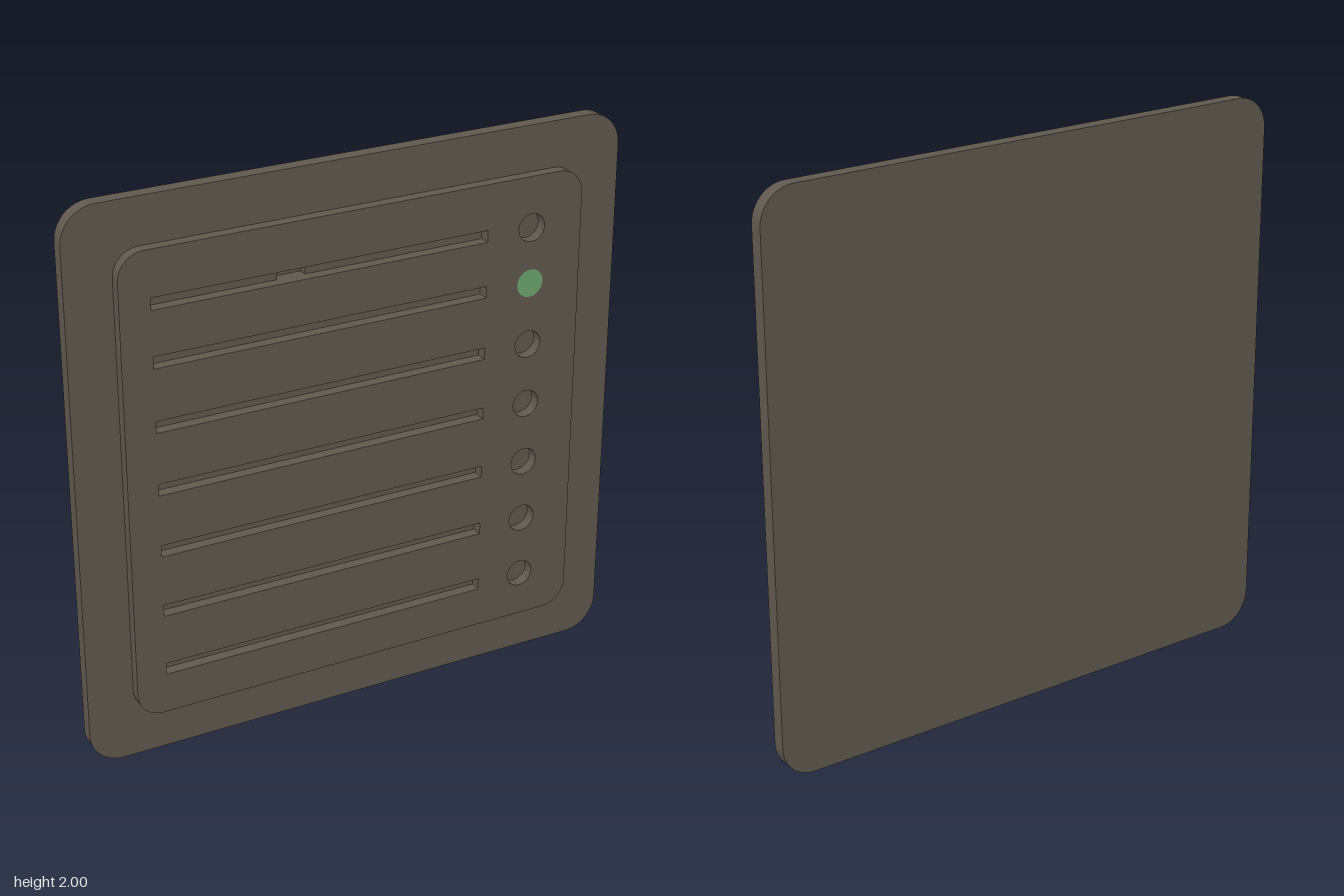
import * as THREE from 'three';

// Rounded rectangle centred on (0, 1)
function roundedSquare(half, r) {
  const s = new THREE.Shape();
  const b = 1 - half, t = 1 + half;
  s.moveTo(-half + r, b);
  s.lineTo(half - r, b);
  s.absarc(half - r, b + r, r, -Math.PI / 2, 0);
  s.lineTo(half, t - r);
  s.absarc(half - r, t - r, r, 0, Math.PI / 2);
  s.lineTo(-half + r, t);
  s.absarc(-half + r, t - r, r, Math.PI / 2, Math.PI);
  s.lineTo(-half, b + r);
  s.absarc(-half + r, b + r, r, Math.PI, Math.PI * 1.5);
  return s;
}

function rectHole(x0, x1, y, h) {
  return new THREE.Path([
    [x0, y - h / 2], [x0, y + h / 2], [x1, y + h / 2], [x1, y - h / 2],
  ].map(([x, py]) => new THREE.Vector2(x, py)));
}

export function createModel() {
  const group = new THREE.Group();
  const body = new THREE.MeshStandardMaterial({ color: 0x5f584e });
  const green = new THREE.MeshStandardMaterial({ color: 0x6ca56e });

  const rows = [1.655, 1.455, 1.23, 1.005, 0.78, 0.555, 0.33];
  const slotH = 0.042, lampX = 0.645, lampR = 0.05, litRow = 1;
  const zBack = -0.045, zFloor = -0.025, zPlate = 0.005, zFront = 0.045;

  function slab(name, shape, z0, z1) {
    const geo = new THREE.ExtrudeGeometry(shape, { depth: z1 - z0, bevelEnabled: false, curveSegments: 8 });
    const mesh = new THREE.Mesh(geo, body);
    mesh.name = name;
    mesh.position.z = z0;
    group.add(mesh);
  }

  // Wall plate: solid back layer, and a front layer with the deep notch of the top slot
  slab('backPlate', roundedSquare(1, 0.12), zBack, zFloor);
  const notched = roundedSquare(1, 0.12);
  notched.holes.push(rectHole(-0.28, -0.18, rows[0], slotH));
  slab('backPlateFront', notched, zFloor, zPlate);

  // Raised panel with a label slot and a round lamp recess in each row
  const panel = roundedSquare(0.837, 0.09);
  rows.forEach((y) => {
    panel.holes.push(rectHole(-0.73, 0.475, y, slotH));
    const ring = new THREE.Path();
    ring.absarc(lampX, y, lampR, 0, Math.PI * 2, true);
    panel.holes.push(ring);
  });
  slab('frontPanel', panel, zPlate, zFront);

  // Lit lamp, flush with the panel
  const lamp = new THREE.Mesh(new THREE.CylinderGeometry(lampR, lampR, zFront - zPlate, 32), green);
  lamp.name = 'greenLamp';
  lamp.rotation.x = Math.PI / 2;
  lamp.position.set(lampX, rows[litRow], (zFront + zPlate) / 2);
  group.add(lamp);

  return group;
}
